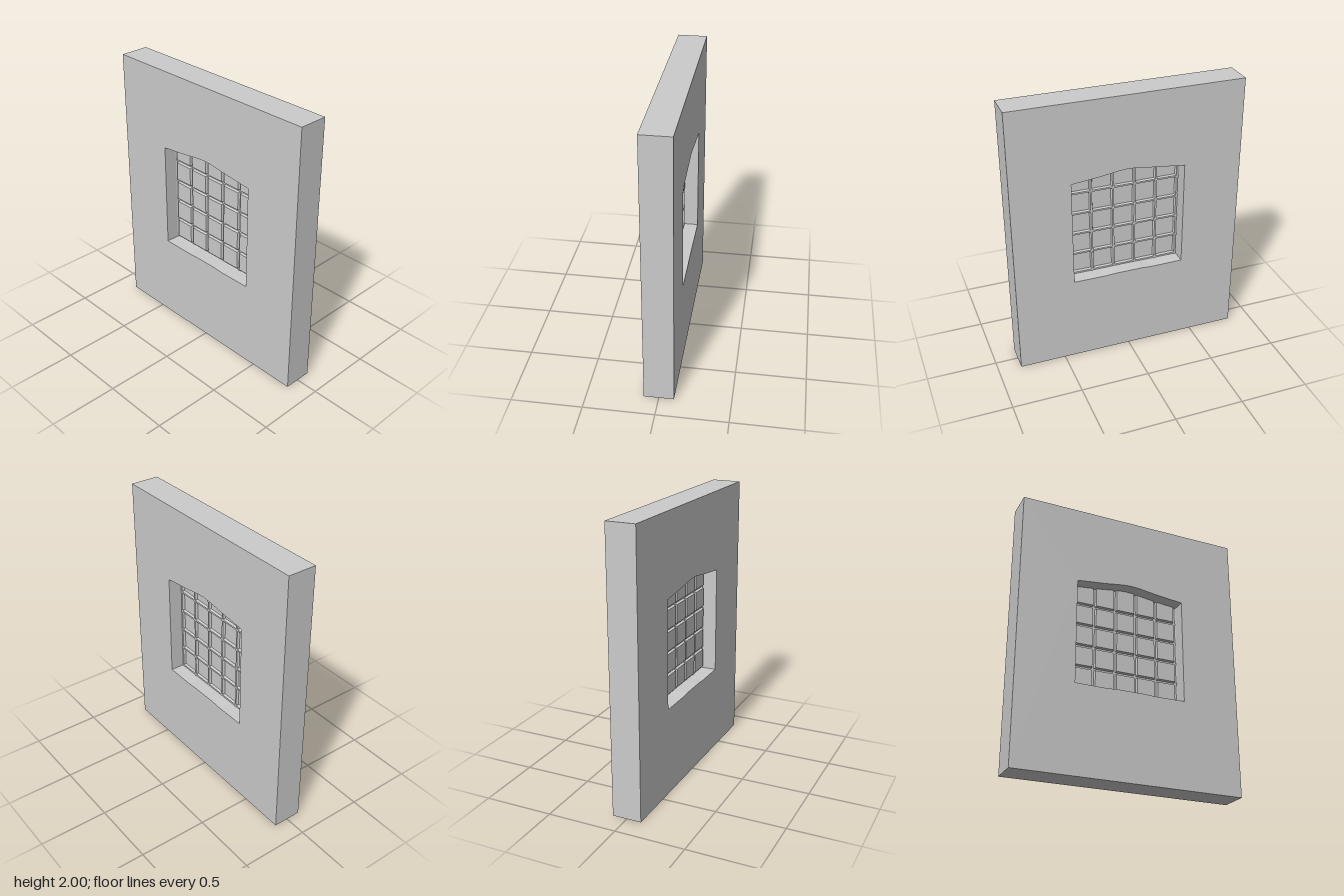
import * as THREE from 'three';

const DEPTH = 0.21;
const BARS_X = [-0.4, -0.24, -0.08, 0.08, 0.24, 0.4];
const BARS_Y = [0.65, 0.81, 0.97, 1.13, 1.29];
const OUTER = 0.012, INNER = 0.006; // half widths of a glazing bar at its foot and crest

// Outline of the opening: straight jambs, softly arched head, slightly wavy sill
const OPENING = [
  [-0.41, 0.642], [-0.18, 0.64], [-0.1, 0.645], [0.1, 0.645], [0.18, 0.64], [0.41, 0.642],
  [0.41, 1.42], [0.2, 1.443], [0.06, 1.463], [0, 1.467], [-0.06, 1.463], [-0.2, 1.443], [-0.41, 1.42],
];

// Grid lines following the sides of every bar
function gridLines(bars, start, end) {
  const lines = bars.flatMap((c) => [c - OUTER, c - INNER, c + INNER, c + OUTER]);
  return [start, ...lines.filter((v) => v > start && v < end), end];
}

// 1 on a bar crest, 0 on the pane, sloping between
function barProfile(bars, v) {
  const d = Math.min(...bars.map((c) => Math.abs(v - c)));
  return THREE.MathUtils.clamp((OUTER - d) / (OUTER - INNER), 0, 1);
}

// Embossed sheet: bars are pressed towards the back
function embossedSheet() {
  const xs = gridLines(BARS_X, -0.42, 0.42);
  const ys = gridLines(BARS_Y, 0.63, 1.475);
  const geo = new THREE.PlaneGeometry(1, 1, xs.length - 1, ys.length - 1);
  const pos = geo.attributes.position;
  for (let i = 0; i < pos.count; i++) {
    const x = xs[i % xs.length];
    const y = ys[ys.length - 1 - Math.floor(i / xs.length)];
    const press = Math.max(barProfile(BARS_X, x), barProfile(BARS_Y, y));
    pos.setXYZ(i, x, y, 0.012 - 0.017 * press);
  }
  geo.computeVertexNormals();
  return geo;
}

export function createModel() {
  const group = new THREE.Group();
  group.name = 'wallWithWindow';

  // Wall panel with the window opening cut through
  const outline = new THREE.Shape([
    [-0.835, 0], [0.835, 0], [0.835, 2], [-0.835, 2],
  ].map(([x, y]) => new THREE.Vector2(x, y)));
  outline.holes.push(new THREE.Path(OPENING.map(([x, y]) => new THREE.Vector2(x, y))));
  const wallGeo = new THREE.ExtrudeGeometry(outline, { depth: DEPTH, bevelEnabled: false });
  wallGeo.translate(0, 0, -DEPTH / 2);
  const wall = new THREE.Mesh(wallGeo, new THREE.MeshStandardMaterial({ color: 0xcccccc }));
  wall.name = 'wall';
  group.add(wall);

  // Window panes and glazing bars
  const panes = new THREE.Mesh(embossedSheet(), new THREE.MeshStandardMaterial({
    color: 0xcccccc, flatShading: true, side: THREE.DoubleSide,
  }));
  panes.name = 'windowPanes';
  group.add(panes);

  return group;
}
